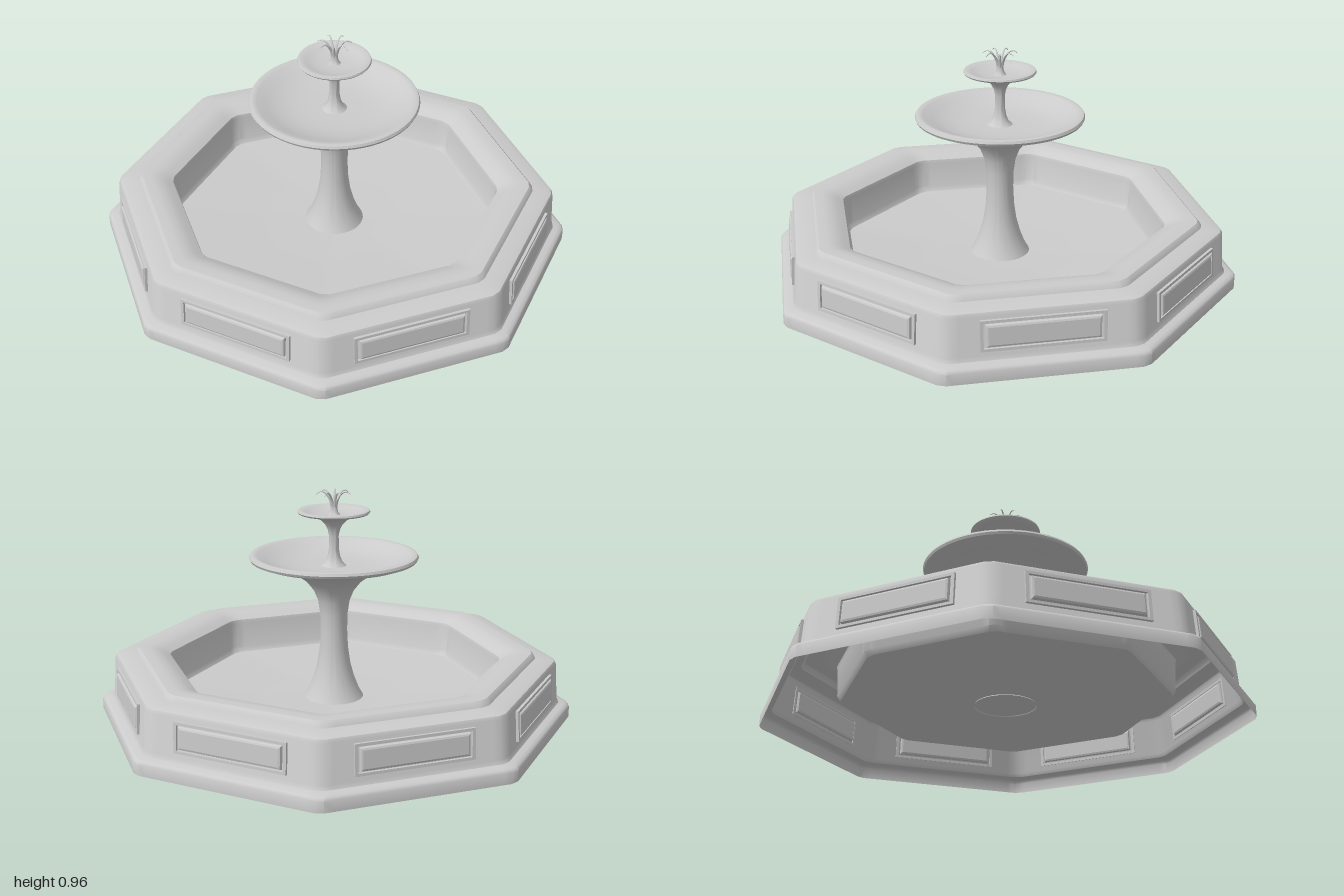
import * as THREE from 'three';
import { toCreasedNormals } from 'three/addons/utils/BufferGeometryUtils.js';

const stone = new THREE.MeshStandardMaterial({ color: 0xcccccc, side: THREE.DoubleSide });
const points = (list) => list.map(([r, y]) => new THREE.Vector2(r, y));

function addMesh(parent, name, geometry) {
  const mesh = new THREE.Mesh(geometry, stone);
  mesh.name = name;
  parent.add(mesh);
  return mesh;
}

// Round turned part with smooth normals and crisp profile edges
const turned = (profile, segments = 48) =>
  toCreasedNormals(new THREE.LatheGeometry(points(profile), segments), 0.75);

// Octagonal turned part: each corner is cut by a narrow chamfer,
// with an extra vertex on either side so the flats stay flat
function octagonal(profile, chamfer = 0.02) {
  const geometry = new THREE.LatheGeometry(points(profile), 32);
  const pos = geometry.attributes.position;
  const along = [chamfer, chamfer * 2.5, -chamfer * 2.5, -chamfer];
  for (let ring = 0; ring <= 32; ring++) {
    const corner = Math.floor((ring + 2) / 4) * Math.PI / 4;
    const offset = along[ring % 4];
    const side = corner + Math.sign(offset) * Math.PI / 8;
    // direction of the side leaving this corner
    const dx = Math.cos(side) * offset, dz = -Math.sin(side) * offset;
    profile.forEach(([r, y], j) => {
      const s = Math.min(1, r * 2);
      pos.setXYZ(ring * profile.length + j,
        Math.sin(corner) * r + dx * s, y, Math.cos(corner) * r + dz * s);
    });
  }
  return toCreasedNormals(geometry, 0.7);
}

function rectangle(path, w, h) {
  path.moveTo(-w / 2, -h / 2);
  path.lineTo(w / 2, -h / 2);
  path.lineTo(w / 2, h / 2);
  path.lineTo(-w / 2, h / 2);
  path.closePath();
  return path;
}

// Raised panel inside a thin moulding, centred on the wall plane
function makePanel() {
  const group = new THREE.Group();
  const frame = rectangle(new THREE.Shape(), 0.47, 0.122);
  frame.holes.push(rectangle(new THREE.Path(), 0.445, 0.1));
  addMesh(group, 'panelFrame', new THREE.ExtrudeGeometry(frame, { depth: 0.014, bevelEnabled: false }));
  addMesh(group, 'raisedPanel', new THREE.ExtrudeGeometry(rectangle(new THREE.Shape(), 0.41, 0.07), {
    depth: 0.01, bevelEnabled: true, bevelThickness: 0.009, bevelSize: 0.01, bevelSegments: 2,
  }));
  return group;
}

// Water jet: a curved tube that tapers towards its drooping tip
function makeJet() {
  const path = new THREE.CatmullRomCurve3([
    [0.006, 0.885], [0.018, 0.925], [0.04, 0.953], [0.056, 0.956], [0.073, 0.945],
  ].map(([r, y]) => new THREE.Vector3(r, y, 0)));
  const steps = 12, sides = 6;
  const geometry = new THREE.TubeGeometry(path, steps, 0.007, sides);
  const pos = geometry.attributes.position;
  const v = new THREE.Vector3();
  for (let i = 0; i <= steps; i++) {
    const centre = path.getPointAt(i / steps);
    for (let j = 0; j <= sides; j++) {
      const k = i * (sides + 1) + j;
      v.fromBufferAttribute(pos, k).sub(centre).multiplyScalar(1 - 0.85 * i / steps).add(centre);
      pos.setXYZ(k, v.x, v.y, v.z);
    }
  }
  geometry.computeVertexNormals();
  return geometry;
}

export function createModel() {
  const fountain = new THREE.Group();
  fountain.name = 'fountain';

  // Octagonal basin: plinth, wall and stepped rim, open underneath
  addMesh(fountain, 'basinWall', octagonal([
    [1.007, 0], [1.007, 0.045], [1.0, 0.055], [0.985, 0.06], [0.962, 0.064], [0.953, 0.08],
    [0.942, 0.235], [0.935, 0.247], [0.915, 0.253], [0.855, 0.257], [0.848, 0.27],
    [0.838, 0.279], [0.8, 0.28], [0.765, 0.276], [0.735, 0.265], [0.705, 0.25],
  ]));

  // Basin inside: steep sides and a shallow floor falling to the middle
  addMesh(fountain, 'basinFloor', octagonal([
    [0.705, 0.25], [0.7, 0.235], [0.695, 0.12], [0.68, 0.1], [0.4, 0.085], [0.001, 0.068],
  ].reverse()));

  // One panel on each side of the wall
  const panels = new THREE.Group();
  panels.name = 'wallPanels';
  fountain.add(panels);
  for (let i = 0; i < 8; i++) {
    const arm = new THREE.Group();
    arm.name = 'wallPanel';
    arm.rotation.y = (i + 0.5) * Math.PI / 4;
    const panel = makePanel();
    panel.position.set(0, 0.16, 0.872);
    panel.rotation.x = -0.06;
    arm.add(panel);
    panels.add(arm);
  }

  // Large pedestal and bowl
  addMesh(fountain, 'lowerBowl', turned([
    [0.127, 0.07], [0.107, 0.105], [0.086, 0.16], [0.07, 0.22], [0.06, 0.29], [0.056, 0.37],
    [0.058, 0.44], [0.066, 0.495], [0.084, 0.54], [0.115, 0.58], [0.16, 0.615], [0.21, 0.639],
    [0.27, 0.655], [0.32, 0.664], [0.347, 0.674], [0.352, 0.684], [0.347, 0.694], [0.335, 0.697],
    [0.318, 0.692], [0.28, 0.675], [0.23, 0.658], [0.17, 0.648], [0.1, 0.645], [0.001, 0.645],
  ], 64));

  // Small pedestal and bowl
  addMesh(fountain, 'upperBowl', turned([
    [0.052, 0.645], [0.036, 0.66], [0.026, 0.685], [0.021, 0.715], [0.02, 0.77], [0.025, 0.795],
    [0.036, 0.818], [0.055, 0.838], [0.08, 0.852], [0.115, 0.861], [0.145, 0.866], [0.15, 0.872],
    [0.147, 0.879], [0.138, 0.881], [0.115, 0.872], [0.08, 0.863], [0.04, 0.86], [0.001, 0.86],
  ]));

  // Nozzle and its ring of jets
  addMesh(fountain, 'nozzle', turned([
    [0.026, 0.86], [0.018, 0.87], [0.014, 0.885], [0.014, 0.898], [0.001, 0.903],
  ], 20));
  const jet = makeJet();
  for (let i = 0; i < 7; i++) {
    addMesh(fountain, 'waterJet', jet).rotation.y = i * Math.PI * 2 / 7 + 0.2;
  }

  return fountain;
}
